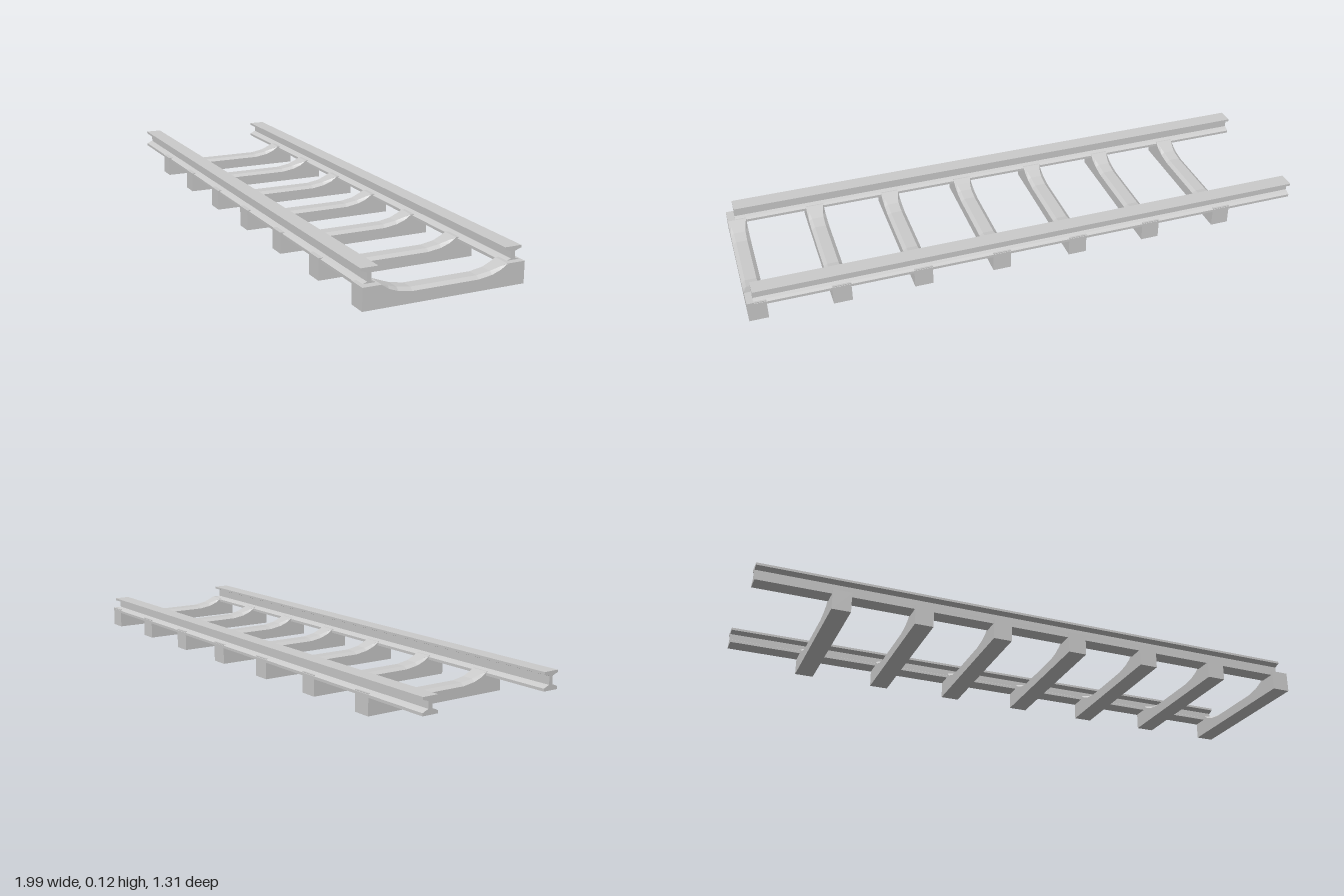
import * as THREE from 'three';

const material = new THREE.MeshStandardMaterial({ color: 0xcccccc, flatShading: true });

// I-section rail running along x
function railGeometry(top, x0, x1) {
  const half = [
    [0.028, 0.057], [0.028, 0.066], [0.018, 0.071], [0.007, 0.075],
    [0.007, top - 0.015], [0.018, top - 0.011], [0.028, top - 0.008], [0.028, top],
  ];
  const outline = [...half, ...half.slice().reverse().map(([x, y]) => [-x, y])];
  const shape = new THREE.Shape(outline.map(([x, y]) => new THREE.Vector2(x, y)));
  const geometry = new THREE.ExtrudeGeometry(shape, { depth: x1 - x0, bevelEnabled: false });
  return geometry.rotateY(Math.PI / 2).translate(x0, 0, 0);
}

// Sleeper along z: square end blocks, lowered and chamfered between the rails
function sleeperGeometry() {
  const w = 0.0315;
  // z, shoulder height, top height, top half width
  const side = [
    [0.268, 0.069, 0.07, w], [0.208, 0.069, 0.07, w], [0.185, 0.054, 0.062, 0.025],
    [0.155, 0.043, 0.052, 0.02], [0.11, 0.036, 0.045, 0.019],
  ];
  const sections = [...side.map(([z, ...rest]) => [-z, ...rest]), ...side.slice().reverse()];
  const position = [], index = [], n = 6;
  for (const [z, shoulder, top, t] of sections) {
    for (const [x, y] of [[-w, 0], [w, 0], [w, shoulder], [t, top], [-t, top], [-w, shoulder]]) {
      position.push(x, y, z);
    }
  }
  for (let s = 0; s < sections.length - 1; s++) {
    for (let i = 0; i < n; i++) {
      const a = s * n + i, b = s * n + (i + 1) % n;
      index.push(a, b, b + n, a, b + n, a + n);
    }
  }
  // End caps
  const last = (sections.length - 1) * n;
  for (let i = 1; i < n - 1; i++) {
    index.push(0, i + 1, i, last, last + i, last + i + 1);
  }
  const geometry = new THREE.BufferGeometry();
  geometry.setAttribute('position', new THREE.Float32BufferAttribute(position, 3));
  geometry.setIndex(index);
  const flat = geometry.toNonIndexed();
  flat.computeVertexNormals();
  return flat;
}

export function createModel() {
  const model = new THREE.Group();
  model.name = 'railwayTrack';

  // The whole track lies diagonally on the ground
  const track = new THREE.Group();
  track.name = 'track';
  track.rotation.y = -THREE.MathUtils.degToRad(25);
  model.add(track);

  const add = (name, geometry, x, z) => {
    const mesh = new THREE.Mesh(geometry, material);
    mesh.name = name;
    mesh.position.set(x, 0, z);
    track.add(mesh);
  };

  add('frontRail', railGeometry(0.117, -0.975, 0.949), 0, 0.233);
  add('backRail', railGeometry(0.112, -0.972, 0.953), 0, -0.241);

  const sleeper = sleeperGeometry();
  for (let i = 0; i < 7; i++) add(`sleeper${i + 1}`, sleeper, -0.699 + i * 0.2737, 0);

  return model;
}
